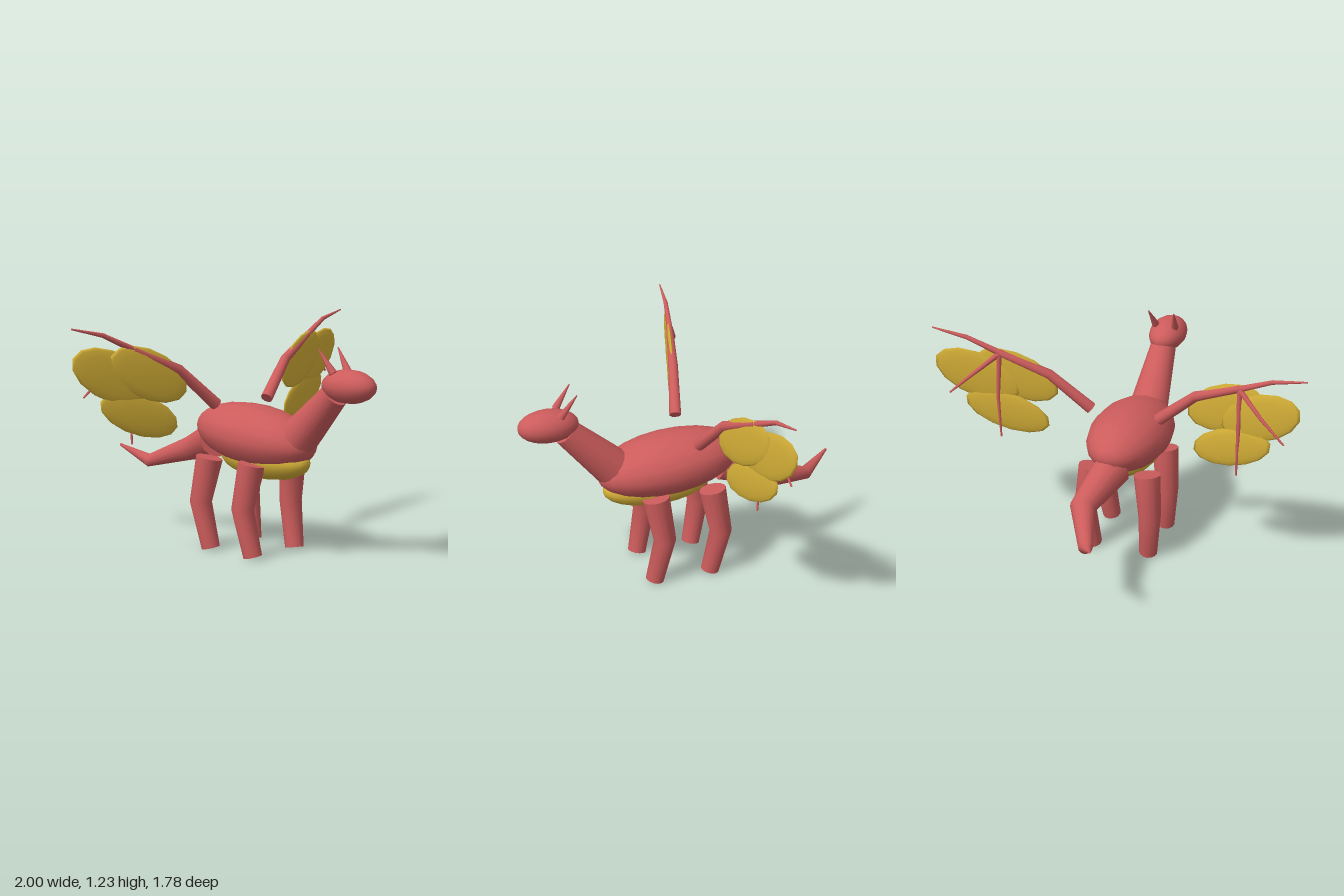
import * as THREE from 'three';

const red = new THREE.MeshStandardMaterial({ color: 0xcd5c5c });
red.name = 'red hide';
const gold = new THREE.MeshStandardMaterial({ color: 0xd4af37 });
gold.name = 'gold membrane';

// Capped tapering tube through joints given as [x, y, z, radius]
function limb(name, joints, sides = 14) {
  const p = joints.map(j => new THREE.Vector3(j[0], j[1], j[2]));
  const pos = [], idx = [];
  const last = p.length - 1;
  const ref = new THREE.Vector3(1, 0, 0);
  if (Math.abs(p[last].clone().sub(p[0]).normalize().x) > 0.6) ref.set(0, 0, 1);
  const ring = i => {
    const t = new THREE.Vector3();
    if (i > 0) t.add(p[i].clone().sub(p[i - 1]).normalize());
    if (i < last) t.add(p[i + 1].clone().sub(p[i]).normalize());
    t.normalize();
    const v = t.clone().cross(ref).normalize();
    const u = v.clone().cross(t);
    const start = pos.length / 3;
    for (let k = 0; k < sides; k++) {
      const a = k / sides * Math.PI * 2, r = joints[i][3];
      const q = p[i].clone().addScaledVector(u, r * Math.cos(a)).addScaledVector(v, r * Math.sin(a));
      pos.push(q.x, q.y, q.z);
    }
    return start;
  };
  const rings = p.map((_, i) => ring(i));
  for (let i = 0; i < last; i++) {
    for (let k = 0; k < sides; k++) {
      const n = (k + 1) % sides, a = rings[i], b = rings[i + 1];
      idx.push(a + k, a + n, b + k, a + n, b + n, b + k);
    }
  }
  // End caps on their own vertices, so the rims stay sharp
  for (const i of [0, last]) {
    const s = ring(i);
    for (let k = 1; k < sides - 1; k++) {
      if (i === 0) idx.push(s, s + k + 1, s + k);
      else idx.push(s, s + k, s + k + 1);
    }
  }
  const g = new THREE.BufferGeometry();
  g.setAttribute('position', new THREE.Float32BufferAttribute(pos, 3));
  g.setIndex(idx);
  g.computeVertexNormals();
  const m = new THREE.Mesh(g, red);
  m.name = name;
  return m;
}

// Ellipsoid with its poles along z
function ellipsoid(name, material, center, radii, rot = [0, 0, 0], w = 16, h = 12) {
  const g = new THREE.SphereGeometry(1, w, h).rotateX(Math.PI / 2).scale(...radii);
  const m = new THREE.Mesh(g, material);
  m.name = name;
  m.position.set(...center);
  m.rotation.set(...rot);
  return m;
}

function makeWing(s) {
  const wing = new THREE.Group();
  wing.name = s > 0 ? 'leftWing' : 'rightWing';
  const bone = (name, pts, sides) =>
    wing.add(limb(name, pts.map(([x, y, z, r]) => [s * x, y, z, r]), sides));
  bone('wingArm', [[0.19, 0.795, -0.02, 0.033], [0.4, 0.99, -0.08, 0.027], [0.65, 1.105, -0.145, 0.019]], 10);
  bone('wingTipFinger', [[0.65, 1.105, -0.145, 0.017], [0.82, 1.185, -0.18, 0.012], [1.0, 1.225, -0.205, 0.004]], 8);
  bone('middleFinger', [[0.65, 1.1, -0.15, 0.015], [0.78, 0.99, -0.215, 0.01], [0.905, 0.875, -0.235, 0.005]], 8);
  bone('lowerFinger', [[0.65, 1.1, -0.15, 0.015], [0.655, 0.86, -0.175, 0.01], [0.65, 0.62, -0.165, 0.005]], 8);
  // Overlapping oval membranes, raised at the outer end and swept back
  const panels = [
    ['innerMembrane', [0.57, 0.975, -0.118], 0.24, 0.125, 0.44],
    ['outerMembrane', [0.765, 0.975, -0.178], 0.24, 0.125, 0.44],
    ['lowerMembrane', [0.615, 0.77, -0.145], 0.235, 0.105, 0.35],
  ];
  for (const [name, [x, y, z], a, b, tilt] of panels) {
    wing.add(ellipsoid(name, gold, [s * x, y, z], [a, b, 0.018], [0, s * 0.24, s * tilt], 14, 8));
  }
  return wing;
}

export function createModel() {
  const model = new THREE.Group();
  model.name = 'dragon';

  // Trunk, neck and head
  model.add(ellipsoid('body', red, [0, 0.625, 0.085], [0.215, 0.163, 0.395], [0.1, 0, 0]));
  model.add(ellipsoid('belly', gold, [0, 0.51, 0.15], [0.145, 0.11, 0.3], [0.03, 0, 0]));
  model.add(limb('neck', [[0, 0.65, 0.4, 0.105], [0, 0.89, 0.64, 0.072]]));
  model.add(ellipsoid('head', red, [0, 0.936, 0.73], [0.102, 0.086, 0.16]));

  // Tail, curving sideways with a raised tip
  model.add(limb('tail', [
    [0, 0.57, -0.22, 0.1], [0.065, 0.478, -0.5, 0.066],
    [-0.035, 0.397, -0.73, 0.037], [-0.113, 0.48, -0.885, 0.007],
  ]));

  for (const s of [1, -1]) {
    const side = s > 0 ? 'left' : 'right';
    model.add(limb(side + 'Horn', [[s * 0.055, 1.0, 0.675, 0.022], [s * 0.073, 1.118, 0.592, 0.003]], 8));
    for (const [name, z] of [['FrontLeg', 0.205], ['BackLeg', -0.11]]) {
      model.add(limb(side + name, [
        [s * 0.155, 0.5, z, 0.072], [s * 0.183, 0.26, z - 0.038, 0.06], [s * 0.16, 0.013, z + 0.013, 0.05],
      ]));
    }
    model.add(makeWing(s));
  }
  return model;
}
